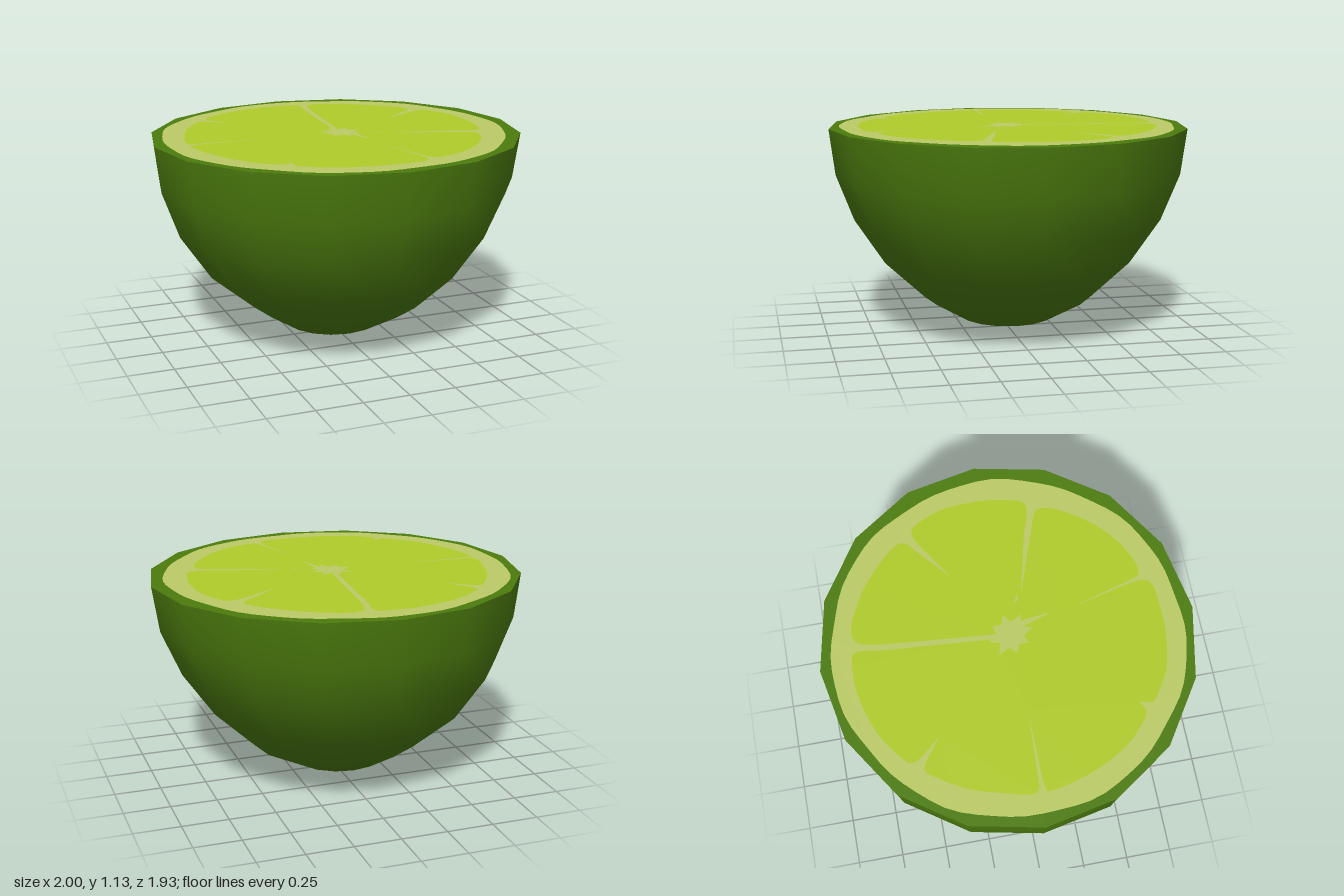
import * as THREE from 'three';
import { mergeVertices } from 'three/addons/utils/BufferGeometryUtils.js';

const TOP = 1.126, DEPTH = 0.967, SIDES = 16;

const material = (name, color) => {
  const m = new THREE.MeshStandardMaterial({ color });
  m.name = name;
  return m;
};

export function createModel() {
  const group = new THREE.Group();
  group.name = 'halfLime';
  const rind = material('rind green', 0x4c7c0e);
  const pith = material('pale pith', 0xbccb67);
  const flesh = material('lime flesh', 0xb0cc2b);

  const add = (name, geometry, mat) => {
    const mesh = new THREE.Mesh(geometry, mat);
    mesh.name = name;
    group.add(mesh);
  };
  // Flat layer on the cut face; shapes are drawn as (x, -z)
  const addLayer = (name, shape, mat, level) => {
    const g = new THREE.ShapeGeometry(shape, 10);
    g.rotateX(-Math.PI / 2).translate(0, TOP + level * 0.0015, 0);
    add(name, g, mat);
  };
  const v = ([x, z]) => new THREE.Vector2(x, -z);
  const polygon = (pts) => new THREE.Shape(pts.map(v));

  // Rind: faceted bowl, with each ring [radius, height, sideways drift]
  const rings = [[0, 0, -0.045], [0.26, 0.06, -0.02], [0.475, 0.185, 0], [0.7, 0.385, -0.015],
    [0.868, 0.63, -0.013], [0.967, 0.88, -0.004], [1, TOP, 0]];
  let bowl = new THREE.LatheGeometry(rings.map(([r, y]) => new THREE.Vector2(r, y)), SIDES);
  const p = bowl.attributes.position;
  for (let i = 0; i < p.count; i++) {
    const drift = rings[i % rings.length][2];
    p.setXYZ(i, p.getX(i) + drift, p.getY(i), p.getZ(i) * DEPTH);
  }
  bowl.deleteAttribute('uv');
  bowl.deleteAttribute('normal');
  bowl = mergeVertices(bowl);
  bowl.computeVertexNormals();
  add('rind', bowl, rind);

  // Cut edge of the rind
  const cut = new THREE.CircleGeometry(1, SIDES);
  cut.scale(1, DEPTH, 1).rotateX(-Math.PI / 2).translate(0, TOP, 0);
  add('rindCutEdge', cut, rind);

  // Pith: slightly wavy disc
  const edge = [];
  for (let i = 0; i < 72; i++) {
    const a = -i / 72 * Math.PI * 2;
    const r = 0.905 + 0.02 * Math.cos(a) ** 2 + 0.006 * Math.sin(a * 7 + 1) + 0.003 * Math.sin(a * 16);
    edge.push([r * Math.cos(a) - 0.01, r * Math.sin(a)]);
  }
  addLayer('pith', polygon(edge), pith, 1);

  // Flesh: rounded lobes, each followed by the inner tip of the slit after it
  const lobes = [
    { pts: [[0.055, -0.65], [0.07, -0.76], [0.03, -0.8], [-0.15, -0.8], [-0.37, -0.735], [-0.53, -0.63],
      [-0.56, -0.58], [-0.535, -0.53]], tip: [-0.45, -0.43] },
    { pts: [[-0.565, -0.515], [-0.61, -0.53], [-0.65, -0.49], [-0.74, -0.34], [-0.8, -0.15],
      [-0.825, -0.03], [-0.8, 0.005], [-0.72, 0.012]], tip: [-0.395, 0.027] },
    { pts: [[-0.72, 0.03], [-0.8, 0.035], [-0.825, 0.07], [-0.77, 0.28], [-0.67, 0.47], [-0.55, 0.59],
      [-0.5, 0.61]], tip: [-0.455, 0.585] },
    { pts: [[-0.47, 0.65], [-0.44, 0.68], [-0.3, 0.76], [-0.1, 0.8], [0.1, 0.8], [0.17, 0.785],
      [0.195, 0.74], [0.185, 0.66]], tip: [0.11, 0.35] },
    { pts: [[0.205, 0.68], [0.23, 0.73], [0.3, 0.73], [0.43, 0.67], [0.56, 0.56], [0.66, 0.42],
      [0.7, 0.32], [0.68, 0.27], [0.6, 0.24]], tip: [0.23, 0.11] },
    { pts: [[0.58, 0.195], [0.69, 0.23], [0.75, 0.22], [0.78, 0.14], [0.8, 0], [0.79, -0.2], [0.73, -0.35],
      [0.68, -0.39], [0.61, -0.365]], tip: [0.395, -0.23] },
    { pts: [[0.575, -0.385], [0.625, -0.43], [0.625, -0.48], [0.55, -0.57], [0.4, -0.69], [0.22, -0.775],
      [0.13, -0.77], [0.1, -0.71], [0.085, -0.62]], tip: [0.035, -0.06] },
  ];
  const pulp = new THREE.Shape();
  lobes.forEach(({ pts, tip }, i) => {
    const start = v(pts[0]);
    if (i) pulp.lineTo(start.x, start.y);
    else pulp.moveTo(start.x, start.y);
    pulp.splineThru(pts.slice(1).map(v));
    const t = v(tip);
    pulp.lineTo(t.x, t.y);
  });
  pulp.lineTo(0.01, 0.06);
  addLayer('flesh', pulp, flesh, 2);

  // Pith core: small irregular star, plus two thin membrane slivers
  const star = [];
  for (let i = 0; i < 16; i++) {
    const a = -(i + 0.4) / 16 * Math.PI * 2;
    const r = i % 2 ? 0.07 : 0.115 + 0.012 * Math.sin(i * 2.3);
    star.push([0.02 + r * Math.cos(a), 0.015 + r * Math.sin(a)]);
  }
  addLayer('core', polygon(star), pith, 3);
  addLayer('membraneSliver', polygon([[0.05, 0.08], [0.105, 0.25], [0.085, 0.08]]), pith, 3);
  addLayer('membraneSliver', polygon([[0.19, 0.065], [0.2, 0.09], [0.24, 0.095]]), pith, 3);

  return group;
}
